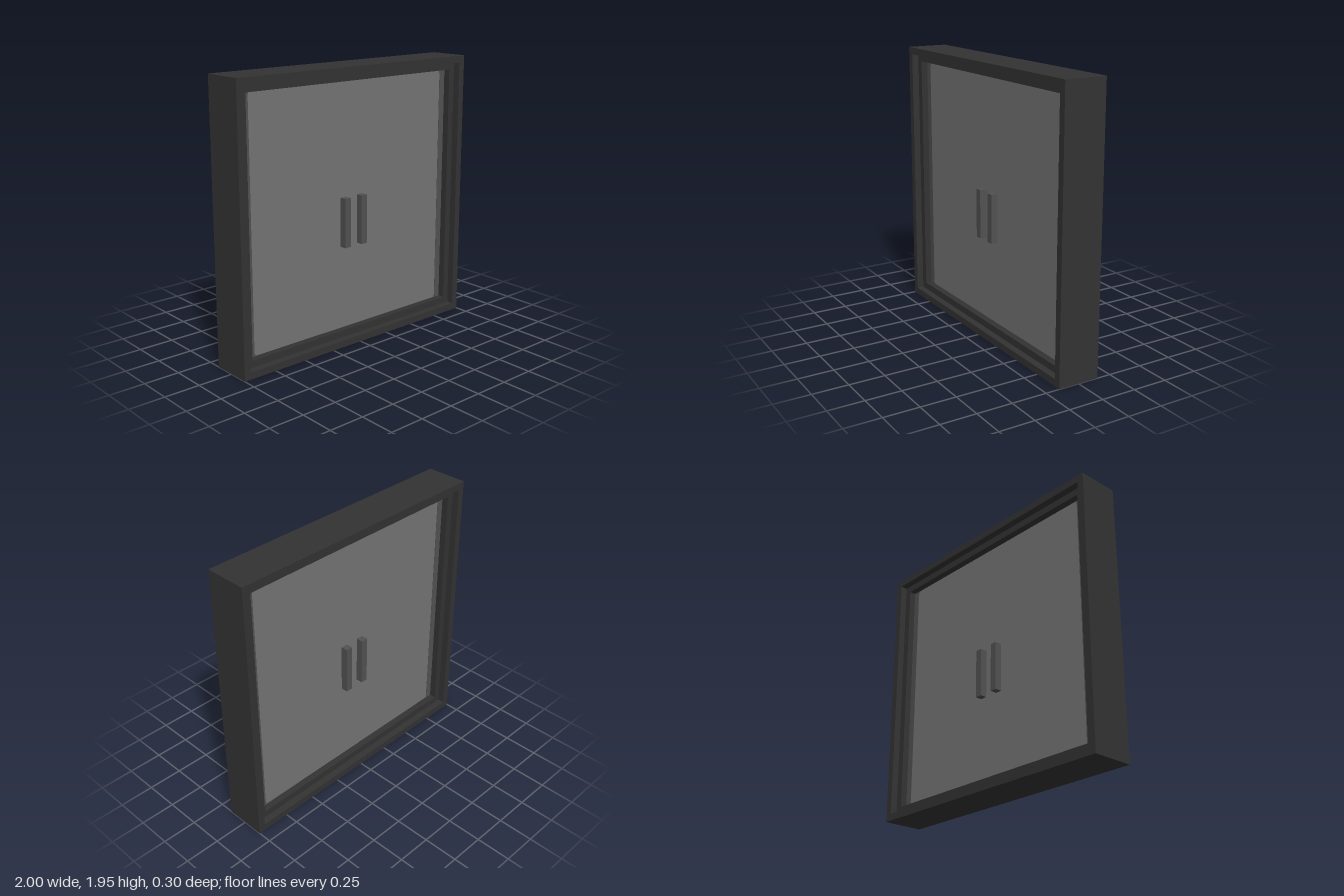
import * as THREE from 'three';

const HEIGHT = 1.95, MID = HEIGHT / 2;

function material(name, color) {
  const m = new THREE.MeshStandardMaterial({ color });
  m.name = name;
  return m;
}

function rectangle(target, w, h) {
  target.moveTo(-w / 2, -h / 2);
  target.lineTo(w / 2, -h / 2);
  target.lineTo(w / 2, h / 2);
  target.lineTo(-w / 2, h / 2);
  target.closePath();
  return target;
}

function extrude(shape, depth) {
  return new THREE.ExtrudeGeometry(shape, { depth, bevelEnabled: false }).translate(0, 0, -depth / 2);
}

// Rectangular ring centred on the origin
function ring(w, h, border, depth) {
  const shape = rectangle(new THREE.Shape(), w, h);
  shape.holes.push(rectangle(new THREE.Path(), w - 2 * border, h - 2 * border));
  return extrude(shape, depth);
}

export function createModel() {
  const group = new THREE.Group();
  group.name = 'doubleWindow';
  const frameMat = material('charcoal frame', 0x333333);
  const glassMat = material('grey glass', 0x757575);
  const edgeMat = material('dark grey trim', 0x525252);

  function add(name, geometry, mat, x = 0, y = MID, z = 0) {
    const mesh = new THREE.Mesh(geometry, mat);
    mesh.name = name;
    mesh.position.set(x, y, z);
    group.add(mesh);
    return mesh;
  }

  // Stepped frame
  add('outerFrame', ring(2, HEIGHT, 0.05, 0.3), frameMat);
  add('innerFrame', ring(1.9, HEIGHT - 0.1, 0.05, 0.2), frameMat);

  // Pane filling the opening
  add('glassPane', new THREE.BoxGeometry(1.8, 1.75, 0.1), glassMat);

  for (const side of [-1, 1]) {
    // Darker edge strip, flared slightly at its ends
    const strip = new THREE.Shape([
      [0.9, -0.875], [0.9, 0.875], [0.84, 0.875], [0.85, 0.85], [0.85, -0.85], [0.84, -0.875],
    ].map(([x, y]) => new THREE.Vector2(side * x, y)));
    add(side > 0 ? 'leftEdgeStrip' : 'rightEdgeStrip', extrude(strip, 0.104), edgeMat);

    // Upright handles on both faces
    for (const face of [-1, 1]) {
      add((side > 0 ? 'left' : 'right') + (face > 0 ? 'Front' : 'Back') + 'Handle',
        new THREE.BoxGeometry(0.05, 0.35, 0.05), edgeMat, side * 0.075, 0.875, face * 0.075);
    }
  }
  return group;
}
